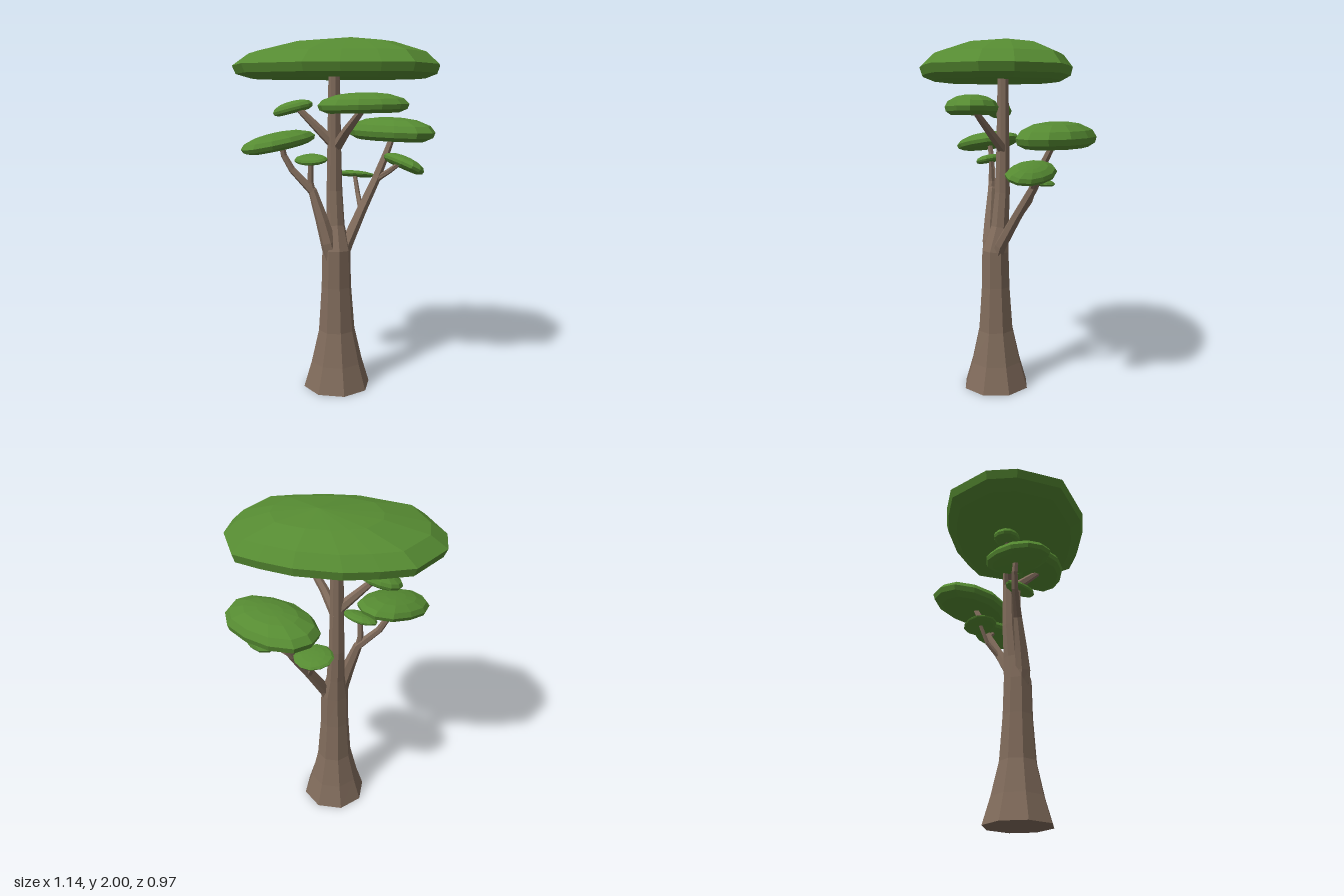
import * as THREE from 'three';

const bark = new THREE.MeshStandardMaterial({ color: 0x806b5b, flatShading: true });
const green = new THREE.MeshStandardMaterial({ color: 0x568b32, flatShading: true });
const V = (x, y, z) => new THREE.Vector3(x, y, z);

// Closed skin over equal-sized rings, with a fan to a point at each end
function skin(rings, start, end) {
  const n = rings[0].length, index = [];
  const pts = [...rings.flat(), start, end];
  const s = pts.length - 2, e = pts.length - 1, last = (rings.length - 1) * n;
  for (let j = 0; j < n; j++) {
    const k = (j + 1) % n;
    for (let i = 0; i < rings.length - 1; i++) {
      const a = i * n + j, b = i * n + k;
      index.push(a, b, b + n, a, b + n, a + n);
    }
    index.push(s, k, j, e, last + j, last + k);
  }
  const geo = new THREE.BufferGeometry().setFromPoints(pts);
  geo.setIndex(index);
  const flat = geo.toNonIndexed();
  flat.computeVertexNormals();
  return flat;
}

// Tapered limb through rows of [x, y, z, radius]
function limb(name, rows, sides = 6) {
  const c = rows.map(([x, y, z]) => V(x, y, z));
  const rings = rows.map((row, i) => {
    const t = c[Math.min(i + 1, c.length - 1)].clone().sub(c[Math.max(i - 1, 0)]).normalize();
    if (row[1] === 0) t.set(0, 1, 0); // level foot
    const w = V(1, 0, 0).addScaledVector(t, -t.x).normalize();
    const u = w.clone().cross(t);
    return Array.from({ length: sides }, (_, j) => {
      const a = ((j + 0.5) / sides) * Math.PI * 2;
      return c[i].clone().addScaledVector(u, row[3] * Math.cos(a)).addScaledVector(w, row[3] * Math.sin(a));
    });
  });
  const mesh = new THREE.Mesh(skin(rings, c[0], c[c.length - 1]), bark);
  mesh.name = name;
  return mesh;
}

// Flat-bottomed leaf cushion: an outline scaled through [scale, height] steps
function cushion(outline, steps, bottom, top) {
  const rings = steps.map(([s, y]) => outline.map(([x, z]) => {
    const k = 1 - s; // inner rings drift towards the apex
    return V(x * s + top.x * k, y, z * s + top.z * k);
  }));
  return skin(rings, bottom, top);
}

function leaf(name, [x, y, z], a, b, h, yaw, tiltX, tiltZ) {
  const outline = Array.from({ length: 12 }, (_, j) => {
    const t = (j / 12) * Math.PI * 2, wob = 1 + 0.02 * Math.sin(j * 2.3 + x * 9);
    return [a * wob * Math.sin(t), b * wob * Math.cos(t)];
  });
  const steps = [[0.78, -0.5], [0.96, -0.33], [1, -0.1], [0.89, 0.17], [0.58, 0.4], [0.28, 0.48]];
  const geo = cushion(outline, steps.map(([s, k]) => [s, k * h]), V(0, -0.42 * h, 0), V(0, 0.5 * h, 0));
  geo.rotateY(yaw);
  const mesh = new THREE.Mesh(geo, green);
  mesh.name = name;
  mesh.position.set(x, y, z);
  mesh.rotation.set(tiltX, 0, tiltZ);
  return mesh;
}

export function createModel() {
  const tree = new THREE.Group();
  tree.name = 'tree';

  // Flared trunk running into the stem that carries the crown
  tree.add(limb('trunk', [
    [0.012, 0, 0.062, 0.195], [0.012, 0.15, 0.062, 0.15], [0.012, 0.34, 0.063, 0.106],
    [0.01, 0.6, 0.064, 0.087], [0.01, 0.81, 0.065, 0.082], [0, 0.95, 0.038, 0.054],
    [-0.008, 1.15, 0.024, 0.046], [-0.01, 1.4, 0.021, 0.04], [-0.01, 1.84, 0.02, 0.032],
  ], 8));

  // Branches
  tree.add(
    limb('rightLowBranch', [[-0.01, 0.77, 0.09, 0.048], [-0.03, 0.86, 0.1, 0.045], [-0.065, 0.98, 0.095, 0.038],
      [-0.122, 1.15, 0.085, 0.026], [-0.24, 1.27, 0.085, 0.02], [-0.285, 1.35, 0.09, 0.018], [-0.3, 1.43, 0.1, 0.016]]),
    limb('rightTwig', [[-0.11, 1.1, 0.09, 0.02], [-0.135, 1.2, 0.085, 0.018], [-0.13, 1.33, 0.09, 0.015]]),
    limb('leftLowBranch', [[0.04, 0.76, 0.06, 0.034], [0.068, 0.85, 0.035, 0.036], [0.135, 1.02, -0.05, 0.03],
      [0.21, 1.2, -0.145, 0.026], [0.265, 1.35, -0.2, 0.021], [0.3, 1.46, -0.25, 0.016]]),
    limb('leftOuterTwig', [[0.2, 1.19, -0.14, 0.018], [0.29, 1.25, -0.15, 0.016], [0.36, 1.305, -0.13, 0.012]]),
    limb('leftInnerTwig', [[0.135, 1.02, -0.06, 0.016], [0.105, 1.11, -0.13, 0.014], [0.08, 1.22, -0.17, 0.012]]),
    limb('leftHighBranch', [[-0.01, 1.38, 0.01, 0.032], [0.07, 1.49, 0.09, 0.026], [0.18, 1.62, 0.18, 0.018]]),
    limb('rightHighBranch', [[0, 1.4, 0.02, 0.032], [-0.1, 1.5, 0.03, 0.026], [-0.21, 1.61, 0.04, 0.018]]),
  );

  // Leaf cushions at the branch ends
  tree.add(
    leaf('rightLowLeaves', [-0.315, 1.435, 0.11], 0.228, 0.15, 0.09, Math.PI / 4, 0.08, 0.16),
    leaf('rightTwigLeaves', [-0.13, 1.335, 0.1], 0.11, 0.066, 0.045, -0.5, 0.2, 0.12),
    leaf('leftLowLeaves', [0.285, 1.49, -0.26], 0.3, 0.185, 0.135, -0.58, 0, -0.02),
    leaf('leftOuterTwigLeaves', [0.375, 1.303, -0.125], 0.165, 0.095, 0.07, -Math.PI / 4, -0.19, -0.42),
    leaf('leftInnerTwigLeaves', [0.085, 1.227, -0.172], 0.112, 0.1, 0.035, 0, -0.17, -0.05),
    leaf('leftHighLeaves', [0.172, 1.645, 0.19], 0.245, 0.143, 0.108, 0, 0, 0.02),
    leaf('rightHighLeaves', [-0.245, 1.62, 0.04], 0.12, 0.075, 0.065, 0, 0, 0.25),
  );

  // Crown: a broad, uneven cushion
  const outline = [
    [0.1, 0.475], [0.3, 0.435], [0.46, 0.38], [0.57, 0.145], [0.57, -0.03], [0.46, -0.26], [0.32, -0.31], [0.14, -0.355],
    [-0.1, -0.36], [-0.27, -0.32], [-0.435, -0.26], [-0.57, -0.03], [-0.56, 0.145], [-0.43, 0.385], [-0.09, 0.485],
  ];
  const crown = new THREE.Mesh(cushion(outline,
    [[0.84, 1.775], [0.97, 1.8], [1, 1.845], [0.86, 1.91], [0.5, 1.968]],
    V(0, 1.79, 0.05), V(0.08, 2, 0)), green);
  crown.name = 'crown';
  tree.add(crown);

  return tree;
}
